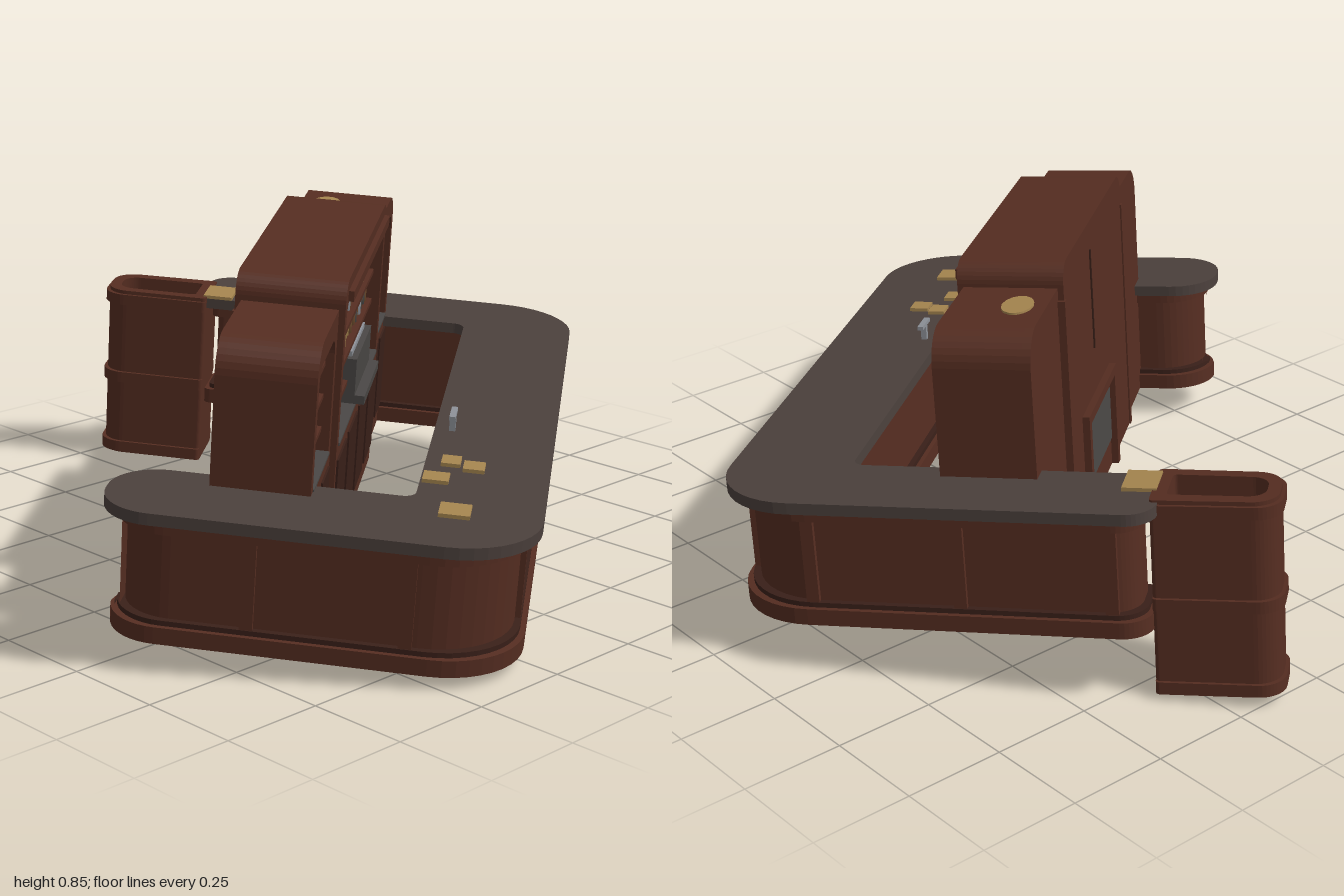
import * as THREE from 'three';
import { mergeGeometries } from 'three/addons/utils/BufferGeometryUtils.js';

const mat = (name, color) => new THREE.MeshStandardMaterial({ name, color });

// Closed outline from corners [x, y, radius]
function rounded(corners, Type = THREE.Shape) {
  const s = new Type(), n = corners.length, K = 0.552;
  corners.forEach(([x, y, r], i) => {
    const p = new THREE.Vector2(x, y);
    const toward = (q, d) => new THREE.Vector2(q[0], q[1]).sub(p).normalize().multiplyScalar(d).add(p);
    const prev = corners[(i + n - 1) % n], next = corners[(i + 1) % n];
    const a = toward(prev, r), b = toward(next, r);
    if (i === 0) s.moveTo(a.x, a.y); else s.lineTo(a.x, a.y);
    if (r > 0) {
      const c = toward(prev, r * (1 - K)), d = toward(next, r * (1 - K));
      s.bezierCurveTo(c.x, c.y, d.x, d.y, b.x, b.y);
    }
  });
  s.closePath();
  return s;
}

export function createModel() {
  const wood = mat('mahogany', 0x552d21);
  const darkWood = mat('dark wood', 0x3a2019);
  const stone = mat('stone top', 0x4b403c);
  const slate = mat('slate panel', 0x4a4745);
  const tan = mat('tan', 0xa5854f);
  const amber = mat('amber glass', 0x6b4a2c);
  const silver = mat('silver', 0x8c9097);

  const model = new THREE.Group();
  model.name = 'barCounter';
  const bar = new THREE.Group();
  bar.name = 'bar';
  bar.rotation.set(0.085, 0.655, 0);
  model.add(bar);

  const add = (name, geo, material) => {
    const m = new THREE.Mesh(geo, material);
    m.name = name;
    bar.add(m);
    return m;
  };
  // Box given by its limits
  const box = (name, material, x0, x1, y0, y1, z0, z1) => {
    const m = add(name, new THREE.BoxGeometry(x1 - x0, y1 - y0, z1 - z0), material);
    m.position.set((x0 + x1) / 2, (y0 + y1) / 2, (z0 + z1) / 2);
    return m;
  };
  // Plan outline extruded upwards
  const upright = (name, material, shape, y0, y1) => {
    const g = new THREE.ExtrudeGeometry(shape, { depth: y1 - y0, bevelEnabled: false, curveSegments: 10 });
    g.rotateX(-Math.PI / 2).translate(0, y0, 0);
    return add(name, g, material);
  };

  // U-shaped counter, inset by d
  const plan = (d) => rounded([
    [-0.95 + d, 0.385 - d, 0.12], [-0.95 + d, -0.575 + d, 0.2],
    [0.836 - d, -0.575 + d, 0.2], [0.836 - d, 0.46 - d, 0.07],
    [0.61 + d, 0.46 - d, 0.02], [0.61 + d, -0.285 - d, 0.03],
    [-0.69 - d, -0.285 - d, 0.03], [-0.69 - d, 0.385 - d, 0.12],
  ]);
  upright('counterBody', wood, plan(0.045), 0.115, 0.4);
  upright('plinth', wood, plan(0.018), 0.11, 0.15);
  upright('plinthMoulding', darkWood, plan(0.03), 0.15, 0.162);
  upright('topRail', wood, plan(0.03), 0.365, 0.398);
  upright('counterTop', stone, plan(0), 0.397, 0.425);

  // Front panel and its frame
  box('frontPanel', slate, -0.66, 0.48, 0.168, 0.355, 0.529, 0.536);
  for (const x of [-0.69, 0.5, 0.6]) box('frontStile', wood, x, x + 0.03, 0.15, 0.37, 0.52, 0.543);
  box('frontTanTrim', tan, -0.73, -0.6, 0.358, 0.372, 0.54, 0.547);

  // Side stiles
  for (const z of [-0.37, -0.02, 0.33]) {
    box('rightEndStile', wood, 0.78, 0.804, 0.15, 0.37, z, z + 0.03);
    if (z > -0.3) box('leftEndStile', wood, -0.918, -0.895, 0.15, 0.37, z - 0.04, z - 0.01);
  }

  // Mats and trays on the counter top
  for (const [x, z, w, d] of [[-0.755, 0.38, 0.07, 0.07], [-0.57, 0.32, 0.055, 0.06],
    [-0.457, 0.345, 0.055, 0.045], [-0.48, 0.40, 0.055, 0.05], [0.66, -0.41, 0.1, 0.08]])
    box('counterMat', tan, x - w / 2, x + w / 2, 0.425, 0.434, z - d / 2, z + d / 2);

  // Beer tap
  box('tapPost', silver, -0.245, -0.23, 0.425, 0.47, 0.32, 0.335);
  box('tapSpout', silver, -0.275, -0.2, 0.462, 0.472, 0.32, 0.335);

  // Hollow hatch frame behind the right arm
  const hatch = (d) => {
    const s = rounded([[0.59 - d, 0.44, 0.01], [0.765 + d, 0.44, 0.01],
      [0.755 + d, 0.725 + d, 0.06], [0.59 - d, 0.725 + d, 0.06]]);
    s.holes.push(rounded([[0.62, 0.475, 0.01], [0.73, 0.475, 0.01],
      [0.725, 0.695, 0.04], [0.62, 0.695, 0.04]], THREE.Path));
    return s;
  };
  upright('hatchFrame', wood, hatch(0), -0.055, 0.43);
  for (const y of [-0.05, 0.16, 0.39]) upright('hatchBand', wood, hatch(0.008), y, y + 0.03);

  // Back bar: three arched units with shelves and bottles
  const bottle = new THREE.LatheGeometry([[0, 0], [0.009, 0], [0.009, 0.034], [0.0035, 0.046], [0.0035, 0.062], [0, 0.062]]
    .map(([x, y]) => new THREE.Vector2(x, y)), 6);
  const glass = new THREE.CylinderGeometry(0.01, 0.007, 0.035, 6).translate(0, 0.0175, 0);
  const stock = { tan: [], amber: [], silver: [], slate: [] };
  let seed = 7;
  const rnd = () => (seed = (seed * 16807) % 2147483647) / 2147483647;

  const units = [
    { name: 'left', x0: -0.755, x1: -0.45, top: 0.765, z0: -0.168, z1: 0.06, rl: 0.08, rr: 0 },
    { name: 'centre', x0: -0.45, x1: 0.33, top: 0.828, z0: -0.182, z1: 0.075, rl: 0.05, rr: 0.05 },
    { name: 'right', x0: 0.33, x1: 0.66, top: 0.77, z0: -0.168, z1: 0.06, rl: 0, rr: 0.08 },
  ];
  for (const { name, x0, x1, top, z0, z1, rl, rr } of units) {
    const a = x0 + 0.03, b = x1 - 0.03, lid = top - 0.055;
    const outline = () => rounded([[x0, 0.11, 0], [x1, 0.11, 0], [x1, top, rr], [x0, top, rl]]);
    const face = outline();
    face.holes.push(rounded([[a, 0.425, 0], [b, 0.425, 0], [b, lid, 0.04], [a, lid, 0.04]], THREE.Path));
    const opts = (depth) => ({ depth, bevelEnabled: false, curveSegments: 8 });
    add(name + 'Cabinet', new THREE.ExtrudeGeometry(face, opts(z1 - z0 - 0.02)).translate(0, 0, z0 + 0.02), wood);
    add(name + 'Back', new THREE.ExtrudeGeometry(outline(), opts(0.02)).translate(0, 0, z0), wood);
    box(name + 'InnerBack', darkWood, a, b, 0.425, lid - 0.03, z0 + 0.02, z0 + 0.027);
    box(name + 'Worktop', slate, a, b, 0.423, 0.43, z0 + 0.02, z1 + 0.003);

    // Cupboard doors below the worktop
    const doors = name === 'centre' ? 4 : 2, w = (x1 - x0) / doors;
    for (let i = 0; i < doors; i++)
      box(name + 'Door', darkWood, x0 + i * w + 0.02, x0 + (i + 1) * w - 0.02, 0.16, 0.39, z1 - 0.002, z1 + 0.005);

    // Shelves and their stock
    [0.43, 0.49, 0.57, 0.65].forEach((y, row) => {
      if (row) box(name + 'Shelf', wood, a, b, y - 0.012, y, z0 + 0.02, z1 - 0.02);
      for (const z of [z1 - 0.05, z1 - 0.1])
        for (let x = a + 0.018; x < b - 0.012; x += 0.023) {
          const r = rnd();
          if (name === 'centre' && row < 2 && Math.abs(x) < 0.18) continue;
          const glasses = row === 0;
          const kind = glasses ? (r < 0.75 ? 'silver' : 'slate')
            : r < 0.42 ? 'tan' : r < 0.75 ? 'amber' : r < 0.88 ? 'slate' : 'silver';
          const g = (glasses ? glass : bottle).clone();
          g.scale(1, 0.85 + 0.25 * rnd(), 1).translate(x, y, z + 0.01 * rnd());
          stock[kind].push(g);
        }
    });
  }
  const stockMats = { tan, amber, silver, slate };
  for (const k in stock) add(k + 'Bottles', mergeGeometries(stock[k]), stockMats[k]);

  // Cornice over the centre unit
  box('cornice', wood, -0.41, 0.29, 0.775, 0.8, 0.07, 0.088);

  // Worn patch on the right unit
  const patch = add('topPatch', new THREE.CylinderGeometry(0.05, 0.05, 0.006, 14), tan);
  patch.scale.set(1.2, 1, 0.75);
  patch.position.set(0.46, 0.772, -0.1);

  // Coffee machine in the centre
  box('machineBody', slate, -0.14, 0.145, 0.43, 0.545, -0.06, 0.075);
  box('machineTray', slate, -0.14, 0.145, 0.43, 0.452, 0.07, 0.1);
  box('machineTop', silver, -0.12, 0.125, 0.545, 0.558, -0.05, 0.06);

  // Rear service panel and pilasters
  box('rearPanel', slate, -0.15, 0.165, 0.19, 0.36, -0.188, -0.181);
  box('rearPanelLintel', wood, -0.17, 0.185, 0.36, 0.385, -0.2, -0.18);
  for (const x of [-0.19, 0.165]) box('rearPost', wood, x, x + 0.025, 0.11, 0.385, -0.2, -0.18);
  for (const x of [-0.46, 0.32]) box('rearPilaster', wood, x, x + 0.02, 0.11, 0.74, -0.186, -0.165);
  box('rearSeam', darkWood, 0.0, 0.006, 0.5, 0.76, -0.186, -0.181);

  return model;
}
